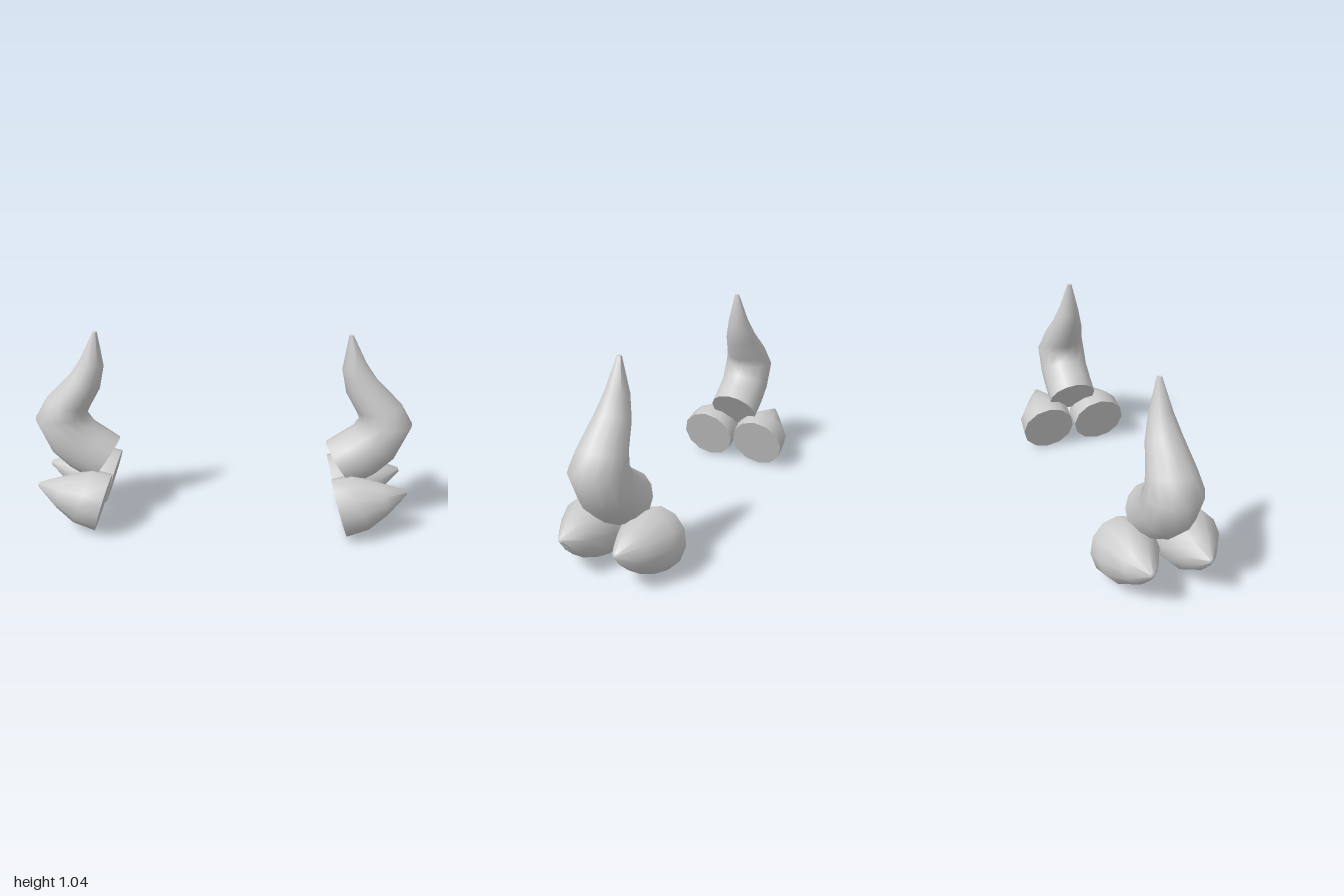
import * as THREE from 'three';
import { toCreasedNormals } from 'three/addons/utils/BufferGeometryUtils.js';

const material = new THREE.MeshStandardMaterial({ color: 0xcccccc });

// Each section: [x, y of one rim point, x, y of the opposite rim point, half depth, z centre]
const hornSections = [
  [0.555, 0.455, 0.715, 0.23, 0.138, -0.003],
  [0.62, 0.502, 0.83, 0.302, 0.139, -0.003],
  [0.69, 0.548, 0.92, 0.39, 0.139, -0.003],
  [0.724, 0.597, 1.0, 0.577, 0.139, -0.003],
  [0.705, 0.64, 0.935, 0.687, 0.117, -0.001],
  [0.645, 0.745, 0.8, 0.82, 0.086, 0],
  [0.618, 0.87, 0.74, 0.905, 0.056, 0],
  [0.643, 1.05, 0.665, 1.05, 0.012, 0],
];
const clawSections = [
  [0.58, 0.305, 0.675, 0.005, 0.155, 0.162],
  [0.68, 0.33, 0.79, 0.05, 0.152, 0.158],
  [0.84, 0.292, 0.88, 0.12, 0.087, 0.15],
  [0.972, 0.257, 0.98, 0.235, 0.012, 0.143],
];

// Skin a closed body over elliptical sections, mirrored in x or z by sx and sz
function loft(sections, sides, sx, sz) {
  const positions = [];
  const flip = sx * sz < 0;
  const point = (i, k) => {
    const [x0, y0, x1, y1, depth, zc] = sections[i];
    const a = ((k % sides) / sides) * Math.PI * 2;
    const t = (1 + Math.cos(a)) / 2;
    return [sx * (x0 + (x1 - x0) * t), y0 + (y1 - y0) * t, sz * (zc + depth * Math.sin(a))];
  };
  const centre = (i) => {
    const [x0, y0, x1, y1, , zc] = sections[i];
    return [sx * (x0 + x1) / 2, (y0 + y1) / 2, sz * zc];
  };
  const tri = (a, b, c) => positions.push(...a, ...(flip ? c : b), ...(flip ? b : c));
  const last = sections.length - 1;
  for (let k = 0; k < sides; k++) {
    for (let i = 0; i < last; i++) {
      tri(point(i, k), point(i + 1, k), point(i, k + 1));
      tri(point(i, k + 1), point(i + 1, k), point(i + 1, k + 1));
    }
    // Flat caps at the root and the tip
    tri(centre(0), point(0, k), point(0, k + 1));
    tri(centre(last), point(last, k + 1), point(last, k));
  }
  const geometry = new THREE.BufferGeometry();
  geometry.setAttribute('position', new THREE.Float32BufferAttribute(positions, 3));
  return toCreasedNormals(geometry, 1.1);
}

function addPart(group, name, geometry) {
  const mesh = new THREE.Mesh(geometry, material);
  mesh.name = name;
  group.add(mesh);
}

export function createModel() {
  const model = new THREE.Group();
  model.name = 'hornPair';
  for (const side of [1, -1]) {
    const group = new THREE.Group();
    group.name = side > 0 ? 'leftHornCluster' : 'rightHornCluster';
    // Tall bent horn
    addPart(group, 'horn', loft(hornSections, 14, side, 1));
    // Two short spikes below it, front and back
    addPart(group, 'frontSpike', loft(clawSections, 12, side, 1));
    addPart(group, 'backSpike', loft(clawSections, 12, side, -1));
    model.add(group);
  }
  return model;
}
